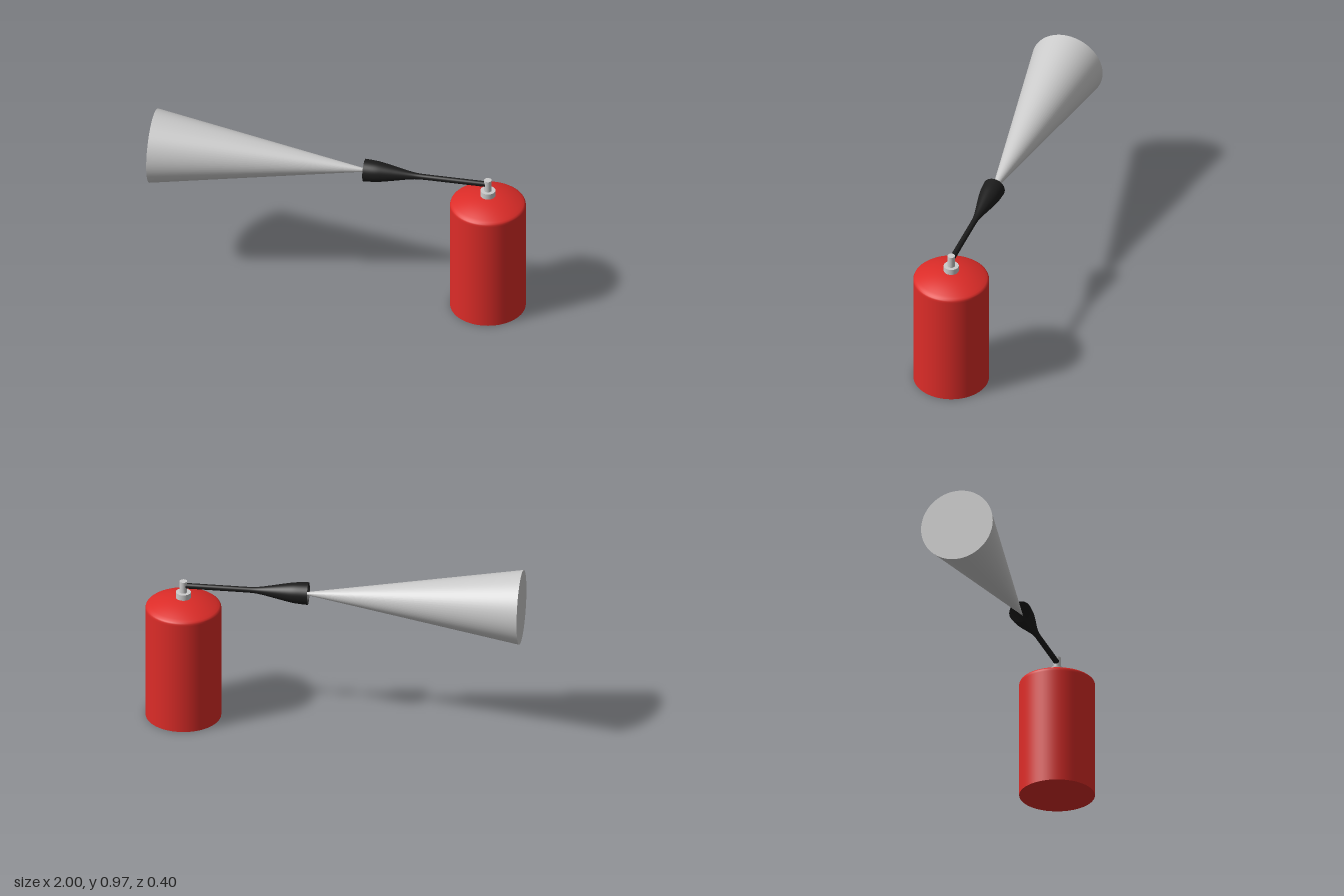
import * as THREE from 'three';

const SEG = 64;
const TANK_X = 0.8;
const AXIS_Y = 0.773;

function part(name, geometry, color, x, y, side = THREE.FrontSide) {
  const material = new THREE.MeshStandardMaterial({ color, side });
  const mesh = new THREE.Mesh(geometry, material);
  mesh.name = name;
  mesh.position.set(x, y, 0);
  return mesh;
}

const points = (pairs) => pairs.map(([r, h]) => new THREE.Vector2(r, h));

export function createModel() {
  const model = new THREE.Group();
  model.name = 'fireExtinguisher';
  const red = 0xdd2c28, black = 0x1c1c1c, grey = 0xcccccc;

  // Tank: straight wall, soft shoulder and a shallow dome
  const profile = [[0.2, 0], [0.2, 0.3], [0.2, 0.635], [0.2, 0.645], [0.197, 0.652], [0.19, 0.658]];
  const domeSteps = 12;
  for (let i = 1; i <= domeSteps; i++) {
    const r = 0.19 * (1 - i / domeSteps);
    profile.push([r, 0.658 + 0.047 * (1 - (r / 0.19) ** 2)]);
  }
  model.add(part('tank', new THREE.LatheGeometry(points(profile), SEG), red, TANK_X, 0));
  const base = new THREE.CircleGeometry(0.2, SEG).rotateX(Math.PI / 2);
  model.add(part('tankBase', base, red, TANK_X, 0));

  // Neck collar and valve stem
  model.add(part('collar', new THREE.CylinderGeometry(0.04, 0.04, 0.045, 32), grey, TANK_X, 0.7125));
  model.add(part('valveStem', new THREE.CylinderGeometry(0.02, 0.02, 0.1, 32), grey, TANK_X, 0.75));

  // Hose flaring into an open grip, turned around the x axis
  const flare = new THREE.SplineCurve(points([
    [0.06, 0.135], [0.056, 0.2], [0.048, 0.25], [0.036, 0.31], [0.022, 0.38], [0.016, 0.43], [0.015, 0.5],
  ])).getPoints(30);
  flare.push(new THREE.Vector2(0.015, 0.79), new THREE.Vector2(0, 0.79));
  const hose = new THREE.LatheGeometry(flare, 40).rotateZ(-Math.PI / 2);
  model.add(part('hoseAndGrip', hose, black, 0, AXIS_Y, THREE.DoubleSide));

  // Discharge horn: a long closed cone with its tip inside the grip
  const tipX = 0.19, length = tipX + 1;
  const horn = new THREE.ConeGeometry(0.198, length, SEG).rotateZ(-Math.PI / 2);
  model.add(part('dischargeHorn', horn, grey, tipX - length / 2, AXIS_Y));

  return model;
}
